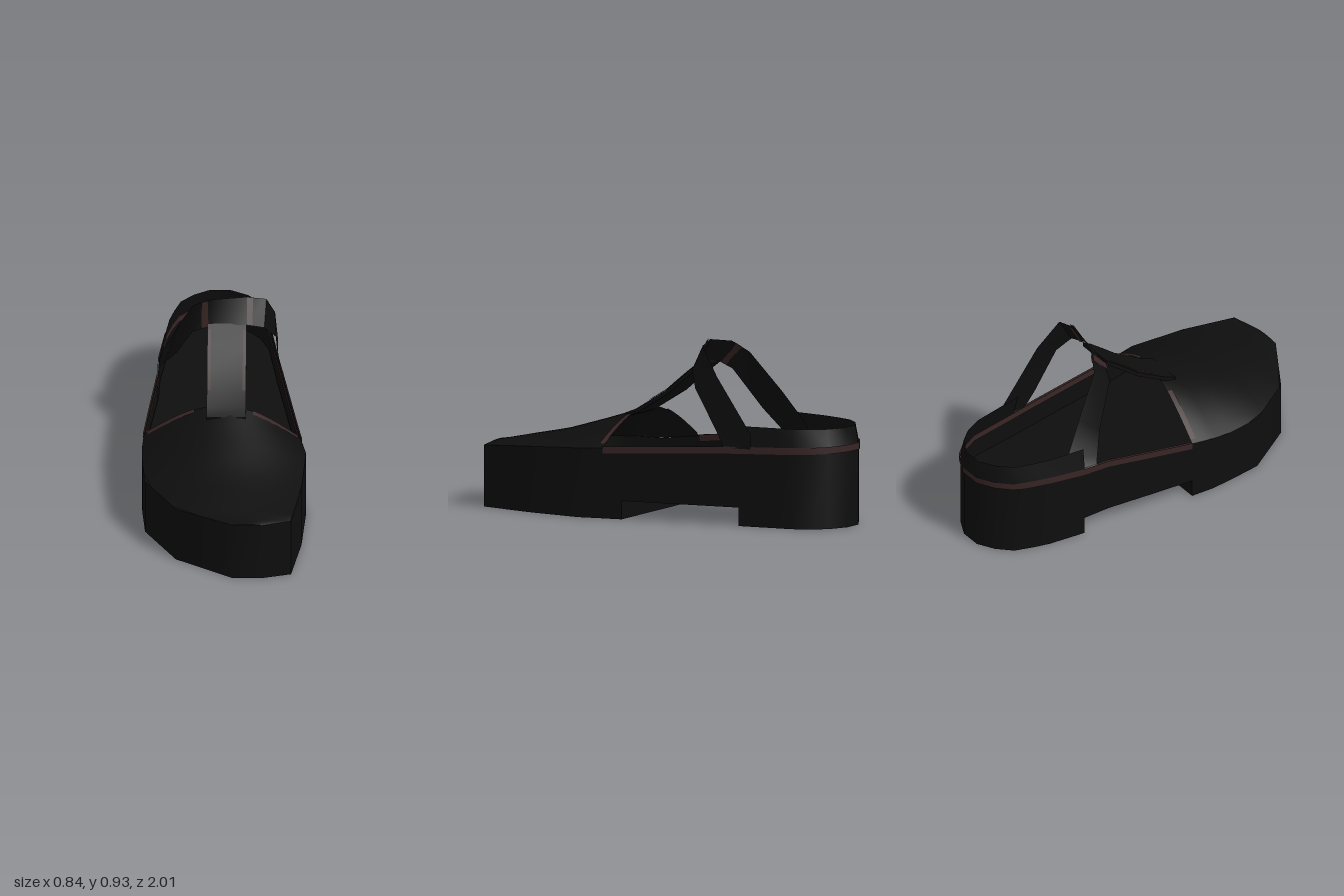
import * as THREE from 'three';
import { mergeGeometries, toCreasedNormals } from 'three/addons/utils/BufferGeometryUtils.js';

// Piecewise-linear lookup in a [z, value] table
function lookup(table, z) {
  for (let i = 1; i < table.length; i++) {
    const [z0, v0] = table[i - 1], [z1, v1] = table[i];
    if (z <= z1) return v0 + (v1 - v0) * Math.max(0, (z - z0) / (z1 - z0));
  }
  return table[table.length - 1][1];
}

// Foot outline on each side, height of the topline, and ridge of the toe
const OUT_NEG = [[-1, -0.09], [-0.95, -0.18], [-0.87, -0.26], [-0.7, -0.31], [-0.5, -0.34], [-0.35, -0.345],
  [-0.1, -0.38], [0.13, -0.41], [0.25, -0.42], [0.4, -0.415], [0.55, -0.4], [0.82, -0.24], [1, 0.05]];
const OUT_POS = [[-1, 0.02], [-0.95, 0.12], [-0.88, 0.18], [-0.79, 0.22], [-0.5, 0.265], [0.2, 0.385],
  [0.36, 0.42], [0.67, 0.4], [0.96, 0.35], [1, 0.2]];
const RIM_NEG = [[-1, 0.42], [-0.7, 0.415], [-0.35, 0.39], [0.13, 0.33], [0.36, 0.3], [0.82, 0.3], [1, 0.315]];
const RIM_POS = [[-1, 0.42], [-0.4, 0.4], [0.13, 0.37], [0.36, 0.357], [0.67, 0.34], [1, 0.315]];
const CROWN = [[0.1, 0.545], [0.2, 0.53], [0.36, 0.475], [0.64, 0.39], [1, 0.32]];
const STATIONS = [-1, -0.95, -0.88, -0.79, -0.7, -0.5, -0.35, -0.1, 0.13, 0.25, 0.36, 0.55, 0.67, 0.82, 0.96, 1];

const outX = (side, z) => lookup(side < 0 ? OUT_NEG : OUT_POS, z);
const rimY = (side, z) => lookup(side < 0 ? RIM_NEG : RIM_POS, z);

// Surface through equal-length rows of [x, y, z] points
function grid(rows) {
  const n = rows[0].length, index = [];
  for (let i = 0; i < rows.length - 1; i++) {
    for (let j = 0; j < n - 1; j++) {
      const a = i * n + j, b = a + n;
      index.push(a, a + 1, b, b, a + 1, b + 1);
    }
  }
  const g = new THREE.BufferGeometry();
  g.setAttribute('position', new THREE.Float32BufferAttribute(rows.flat(2), 3));
  g.setIndex(index);
  return g;
}

// Points round the back of the shoe, from the -x side to the +x side
function aroundHeel(zNeg, zPos) {
  const back = (side, zEnd) => [...STATIONS.filter(z => z < zEnd - 0.01), zEnd].map(z => ({ side, z }));
  return [...back(-1, zNeg).reverse(), ...back(1, zPos)];
}

// Point on the domed toe; t runs across from -x to +x
function vampPoint(t, z, lift = 0) {
  const x = THREE.MathUtils.lerp(outX(-1, z), outX(1, z), t);
  const base = THREE.MathUtils.lerp(rimY(-1, z), rimY(1, z), t);
  const dome = Math.pow(Math.max(0, Math.sin(Math.PI * Math.pow(t, 1.15))), 0.9);
  return [x, base + (lookup(CROWN, z) - base) * dome + lift, z];
}
const throatZ = t => 0.13 + 0.1 * t;

export function createModel() {
  const shoe = new THREE.Group();
  shoe.name = 'shoe';
  const black = new THREE.MeshStandardMaterial({ color: 0x0e0e0e, side: THREE.DoubleSide });
  black.name = 'black leather';
  const brown = new THREE.MeshStandardMaterial({ color: 0x382525, side: THREE.DoubleSide });
  brown.name = 'brown trim';

  function add(name, geometry, material, crease = 0.7) {
    const mesh = new THREE.Mesh(toCreasedNormals(geometry, crease), material);
    mesh.name = name;
    shoe.add(mesh);
  }

  // Side walls and sole, stepped up under the arch
  const sections = [];
  const section = (z, b) => sections.push([
    [outX(-1, z), rimY(-1, z), z], [outX(-1, z), b, z], [outX(1, z), b, z], [outX(1, z), rimY(1, z), z]]);
  for (const z of STATIONS) {
    if (z === -0.5) section(z, 0);
    section(z, z >= -0.5 && z <= 0.13 ? 0.095 : 0);
    if (z === 0.13) section(z, 0);
  }
  const [heel, toe] = [sections[0], sections[sections.length - 1]];
  add('wallsAndSole', mergeGeometries([
    grid(sections),
    grid([[heel[3], heel[2]], [heel[0], heel[1]]]),
    grid([[toe[0], toe[1]], [toe[3], toe[2]]]),
  ]), black);

  // Insole
  add('insole', grid(STATIONS.filter(z => z < 0.9).map(z => {
    const y = 0.24 - 0.05 * z;
    return [[outX(-1, z) * 0.99, y, z * 0.995], [outX(1, z) * 0.99, y, z * 0.995]];
  })), black);

  // Domed toe cover
  const across = Array.from({ length: 17 }, (_, i) => i / 16);
  const along = [0, 0.08, 0.16, 0.28, 0.41, 0.54, 0.66, 0.77, 0.87, 0.95, 1];
  add('toeCover', grid(along.map(s => across.map(t =>
    vampPoint(t, THREE.MathUtils.lerp(throatZ(t), 1, s))))), black);

  // Trim along both sides of the throat
  for (const [from, to] of [[0.02, 0.33], [0.7, 0.98]]) {
    const ts = Array.from({ length: 7 }, (_, i) => from + (to - from) * i / 6);
    add('throatTrim', grid([0, 0.03].map(d => ts.map(t => vampPoint(t, throatZ(t) + d, 0.006)))), brown);
  }

  // Heel counter, leaning slightly inward
  add('heelCounter', grid(aroundHeel(-0.5, -0.5).map(({ side, z }) => {
    const x = outX(side, z), y = rimY(side, z);
    return [[-0.03 + (x + 0.03) * 0.93, 0.513, z * 0.985], [x, y, z]];
  })), black);

  // Topline trim, outside and inside
  for (const [name, d] of [['toplineTrim', 0.005], ['innerTrim', -0.007]]) {
    add(name, grid(aroundHeel(0.13, 0.23).map(({ side, z }) => {
      const x = outX(side, z) + side * d, y = rimY(side, z), zz = z < -0.86 ? z - d : z;
      return [[x, y + 0.006, zz], [x, y - 0.03, zz]];
    })), brown);
  }

  // Ankle strap: upper back edge and lower front edge, z follows the slant
  const upper = [[-0.33, 0.4], [-0.285, 0.47], [-0.235, 0.63], [-0.165, 0.83], [-0.07, 0.895], [0.11, 0.925],
    [0.21, 0.905], [0.253, 0.76], [0.265, 0.48], [0.265, 0.4]];
  const lower = [[-0.345, 0.385], [-0.315, 0.43], [-0.25, 0.53], [-0.165, 0.735], [-0.075, 0.785], [0.11, 0.8],
    [0.2, 0.775], [0.258, 0.69], [0.268, 0.48], [0.28, 0.4]];
  const upperPoint = ([x, y]) => [x, y, Math.max(-0.57, -0.24 - (0.925 - y) * 0.75)];
  const lowerPoint = ([x, y]) => [x, y, -0.17 - (0.8 - y) * 0.625];
  add('ankleStrap', grid(upper.map((p, i) => [upperPoint(p), lowerPoint(lower[i])])), black);

  // Trim stripes on the ankle strap, each side of the loop
  const stripes = [
    [[[-0.122, 0.862], [-0.12, 0.762]], [[-0.09, 0.883], [-0.085, 0.78]]],
    [[[0.112, 0.925], [0.112, 0.8]], [[0.142, 0.919], [0.14, 0.792]]],
  ];
  for (const stripe of stripes) {
    const rows = stripe.map(([u, l]) => [upperPoint(u), lowerPoint(l)]);
    for (const d of [0.006, -0.006]) {
      add('strapTrim', grid(rows.map(r => r.map(([x, y, z]) => [x, y + d * 0.5, z + d]))), brown);
    }
  }

  // Instep strap from the toe cover up to the ankle strap
  const path = [[0.26, 0.508], [0.2, 0.532], [0.02, 0.642], [-0.08, 0.725], [-0.18, 0.803]];
  const profile = new THREE.Shape([
    ...path.map(([z, y]) => new THREE.Vector2(-z, y)),
    ...[...path].reverse().map(([z, y]) => new THREE.Vector2(-z, y - 0.025)),
  ]);
  const instep = new THREE.ExtrudeGeometry(profile, { depth: 0.2, bevelEnabled: false });
  instep.rotateY(Math.PI / 2).translate(-0.09, 0, 0);
  add('instepStrap', instep, black);

  // Trim along the instep strap's edges
  const edge = [[0.12, 0.581], [0.02, 0.642], [-0.08, 0.725], [-0.15, 0.78]];
  for (const x of [-0.09, 0.092]) {
    add('instepTrim', grid(edge.map(([z, y]) => [[x, y + 0.005, z], [x + 0.018, y + 0.005, z]])), brown);
  }
  return shoe;
}
